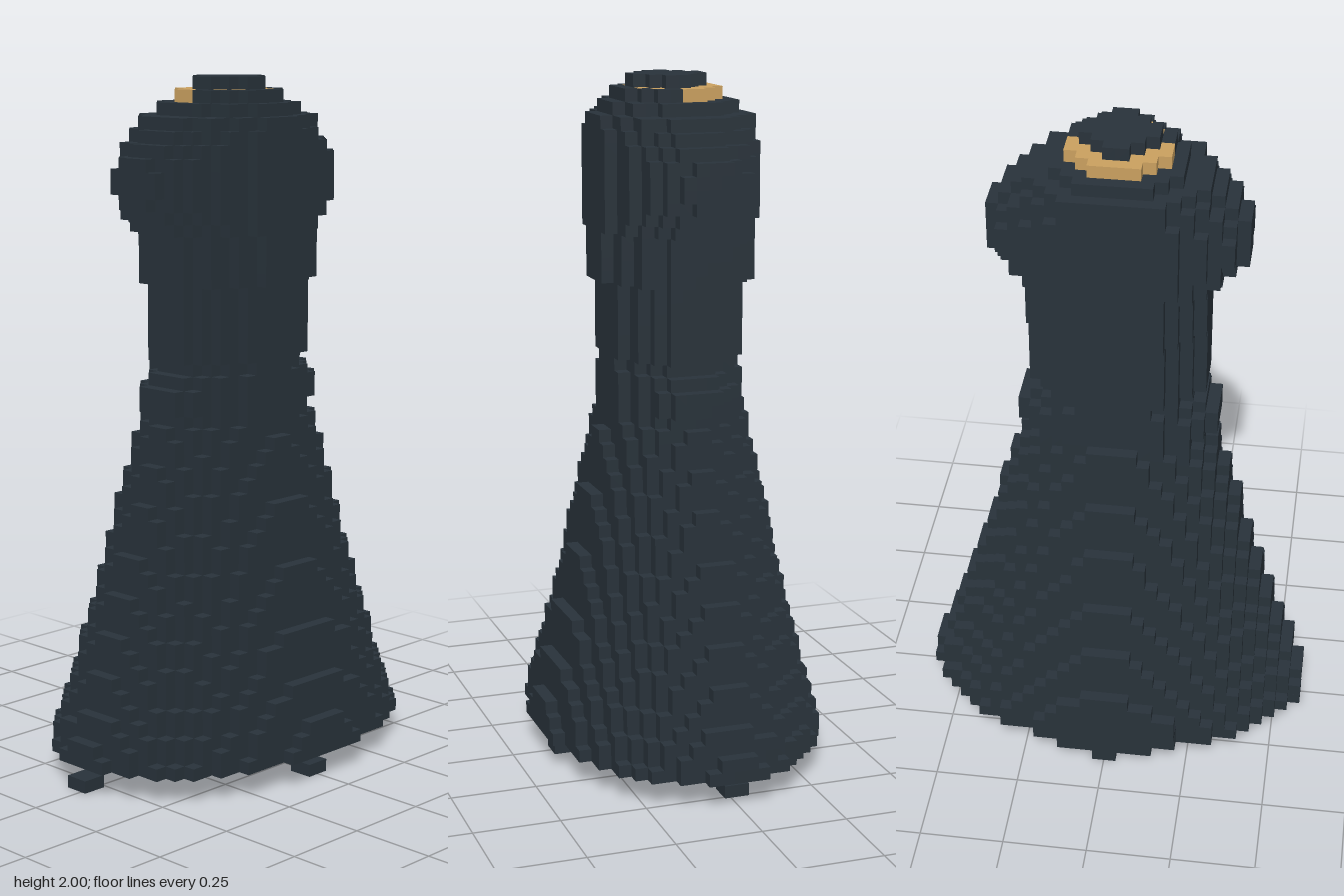
import * as THREE from 'three';

const H = 2 / 55; // cell size
const CX = 0.25;  // centre of the ovals in x, in cells

// half width and half depth of the ovals by layer, in cells
const WIDTH = [[2, 11.2], [4.5, 10.75], [6.5, 10.25], [7.5, 9.75], [10.5, 9.25], [11.5, 8.75], [14.5, 8.25],
  [16.5, 7.75], [19.5, 7.25], [21.5, 6.75], [23.5, 6.25], [26.5, 5.75], [28.5, 5.25], [29, 5.1],
  [38, 5.1], [39, 6.1], [51, 6.1], [52, 5.1], [53, 4.1]];
const DEPTH = [[2, 15.95], [3.5, 15.5], [5.5, 14.5], [8.5, 13.5], [11.5, 12.5], [14.5, 11.5], [17.5, 10.5],
  [21.5, 9.5], [24.5, 8.5], [27.5, 7.5], [28, 7.1], [29, 8], [30, 8], [31, 7], [32, 6], [33, 7], [42, 7.1],
  [43, 8], [44, 9], [45, 9.8], [46.5, 10.2], [48, 9.8], [49, 9], [50, 8], [51, 7], [52, 5.2], [53, 4.1]];

const sample = (table, j) => {
  const i = Math.max(1, table.findIndex(([k]) => k >= j));
  const [[j0, v0], [j1, v1]] = [table[i - 1], table[i]];
  return v0 + (v1 - v0) * (j - j0) / (j1 - j0);
};

// face directions with two edge vectors, edge1 x edge2 = direction
const FACES = [
  [[1, 0, 0], [0, 1, 0], [0, 0, 1]], [[-1, 0, 0], [0, 0, 1], [0, 1, 0]],
  [[0, 1, 0], [0, 0, 1], [1, 0, 0]], [[0, -1, 0], [1, 0, 0], [0, 0, 1]],
  [[0, 0, 1], [1, 0, 0], [0, 1, 0]], [[0, 0, -1], [0, 1, 0], [1, 0, 0]],
];

export function createModel() {
  const group = new THREE.Group();
  const charcoal = new THREE.MeshStandardMaterial({ color: 0x28323a });
  charcoal.name = 'charcoal';
  const gold = new THREE.MeshStandardMaterial({ color: 0xcaa05f });
  gold.name = 'gold';

  const cells = new Map(); // "x,y,z" -> part name; z cells have half-integer centres
  const put = (part, x, y, z) => cells.set([x, y, z].join(), part);
  const block = (part, x0, x1, y0, y1, z0, z1) => {
    for (let x = x0; x <= x1; x++)
      for (let y = y0; y <= y1; y++)
        for (let z = z0; z <= z1; z++) put(part, x, y, z);
  };

  // oval layers of skirt, neck and head, the skirt hollow from below
  for (let j = 2; j < 54; j++) {
    const a = sample(WIDTH, j), b = sample(DEPTH, j);
    const part = j < 29 ? 'skirt' : j < 39 ? 'neck' : 'head';
    const inside = (x, z, t) => ((x - CX) / (a - t)) ** 2 + (z / (b - t)) ** 2 < 1;
    for (let x = -11; x <= 11; x++)
      for (let z = -15.5; z < 16; z++)
        if (inside(x, z, 0) && !(j < 26 && inside(x, z, 1.6))) put(part, x, j, z);
  }

  // cap on top and the broken ring around it
  for (const s of [-1, 1]) {
    [[-2, 3], [-1, 2], [0, 1]].forEach(([x0, x1], i) => {
      for (let x = x0; x <= x1; x++) {
        put('cap', x, 54, s * (i + 0.5));
        put('cap', x, 53, s * (i + 0.5));
      }
    });
    [[-3, 0.5], [-3, 1.5], [-2, 1.5], [-2, 2.5], [-1, 2.5], [-1, 3.5], [0, 3.5], [3, 1.5], [2, 2.5]]
      .forEach(([x, z]) => put('ring', x, 53, s * z));
  }

  // four feet, the hem on one side and a small side knob
  block('foot', -10, -9, 0, 0, -0.5, 0.5);
  block('foot', 9, 10, 0, 0, -0.5, 0.5);
  block('foot', -1, 0, 0, 0, 14.5, 15.5);
  block('foot', -1, 0, 0, 0, -13.5, -12.5);
  block('hem', -10, -9, 1, 1, -3.5, 3.5);
  put('hem', -9, 1, -5.5);
  block('sideKnob', -11, -11, 4, 5, 5.5, 5.5);

  // one mesh per part, made of the exposed cell faces
  const positions = {};
  for (const [key, part] of cells) {
    const p = key.split(',').map(Number);
    const out = (positions[part] ??= []);
    for (const [n, u, v] of FACES) {
      if (cells.has(p.map((q, i) => q + n[i]).join())) continue;
      const corner = (su, sv) => p.map((q, i) =>
        (q + (i === 1 ? 0.5 : 0) + (n[i] + su * u[i] + sv * v[i]) / 2) * H);
      const [A, B, C, D] = [corner(-1, -1), corner(1, -1), corner(1, 1), corner(-1, 1)];
      out.push(...A, ...B, ...C, ...A, ...C, ...D);
    }
  }
  for (const [part, list] of Object.entries(positions)) {
    const geometry = new THREE.BufferGeometry();
    geometry.setAttribute('position', new THREE.Float32BufferAttribute(list, 3));
    geometry.computeVertexNormals();
    const mesh = new THREE.Mesh(geometry, part === 'ring' ? gold : charcoal);
    mesh.name = part;
    group.add(mesh);
  }
  return group;
}
